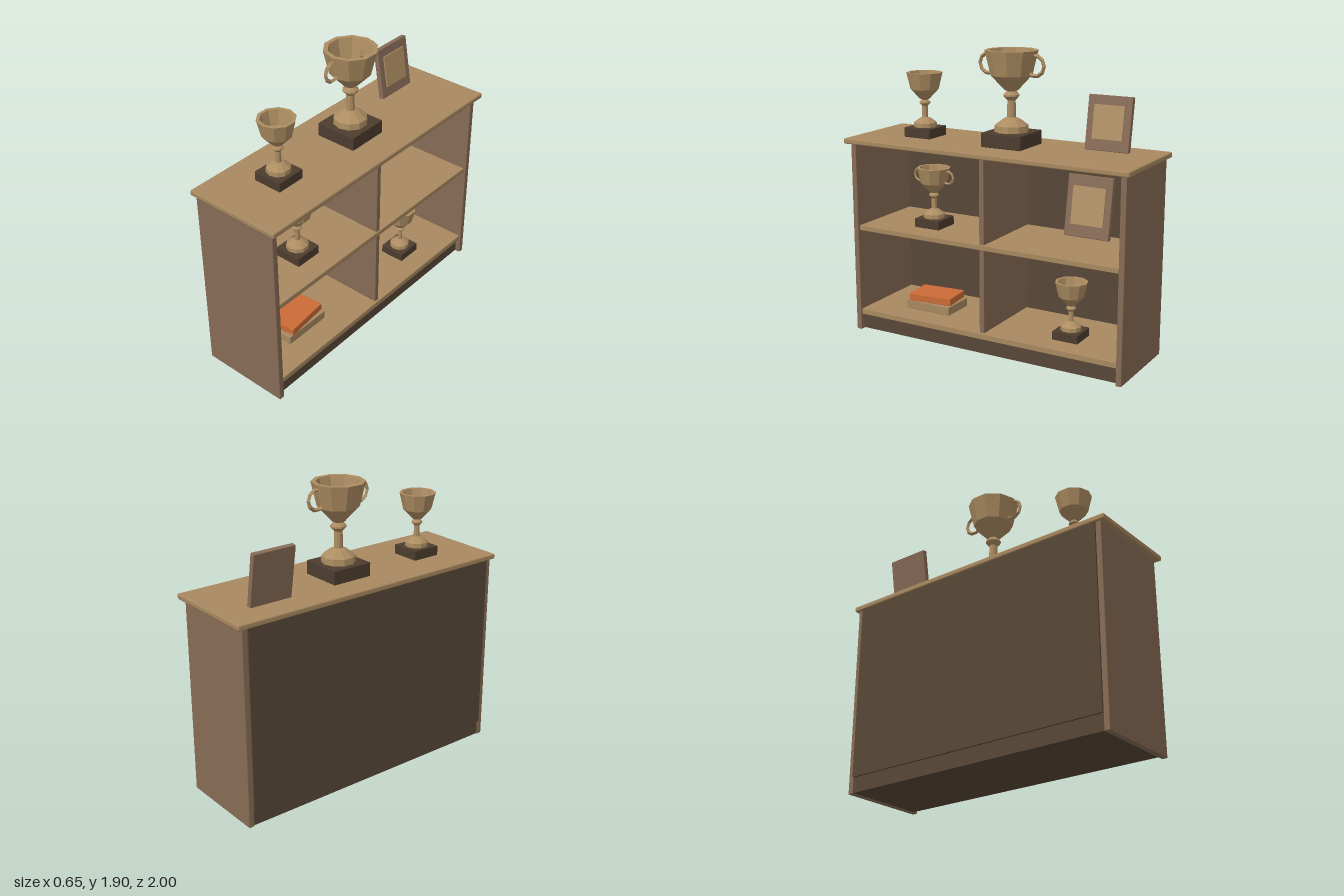
import * as THREE from 'three';
import { RoundedBoxGeometry } from 'three/addons/geometries/RoundedBoxGeometry.js';

const mat = (name, color) => {
  const m = new THREE.MeshStandardMaterial({ color });
  m.name = name;
  return m;
};

export function createModel() {
  const lightWood = mat('light wood', 0xa88860);
  const panelWood = mat('panel wood', 0x866b54);
  const darkWood = mat('dark wood', 0x574736);
  const plinthWood = mat('plinth wood', 0x4c3c2e);
  const brass = mat('brass', 0xad8d62);
  const frameWood = mat('frame wood', 0x896c58);
  const picture = mat('picture', 0xb29266);
  const orange = mat('orange cover', 0xcb6b36);

  const model = new THREE.Group();
  model.name = 'trophyBookcase';

  const add = (parent, name, geometry, material) => {
    const mesh = new THREE.Mesh(geometry, material);
    mesh.name = name;
    parent.add(mesh);
    return mesh;
  };
  // box given by its limits on each axis, with slightly softened edges
  const box = (parent, name, material, [x0, x1], [y0, y1], [z0, z1], bevel = 0.004) => {
    const size = [x1 - x0, y1 - y0, z1 - z0];
    const geometry = bevel ? new RoundedBoxGeometry(...size, 1, bevel) : new THREE.BoxGeometry(...size);
    const mesh = add(parent, name, geometry, material);
    mesh.position.set((x0 + x1) / 2, (y0 + y1) / 2, (z0 + z1) / 2);
    return mesh;
  };
  const faceted = (geometry) => {
    const g = geometry.index ? geometry.toNonIndexed() : geometry;
    g.computeVertexNormals();
    return g;
  };

  // Bookcase, open towards +x
  box(model, 'top', lightWood, [-0.33, 0.325], [1.275, 1.31], [-1, 1], 0.009);
  for (const s of [-1, 1]) {
    const side = box(model, 'sidePanel', panelWood, [-0.315, 0.285], [0, 1.275], [-0.0185, 0.0185]);
    side.position.z = s * 0.951;
  }
  box(model, 'backPanel', darkWood, [-0.323, -0.305], [0.105, 1.275], [-0.933, 0.933], 0);
  box(model, 'plinth', darkWood, [-0.31, 0.25], [0.004, 0.106], [-0.933, 0.933], 0);
  box(model, 'bottomShelf', lightWood, [-0.305, 0.275], [0.106, 0.145], [-0.933, 0.933]);
  box(model, 'middleShelf', lightWood, [-0.305, 0.27], [0.69, 0.725], [-0.933, 0.933]);
  box(model, 'divider', panelWood, [-0.305, 0.262], [0.145, 1.275], [-0.017, 0.017]);

  // Trophies: ten-sided turned cup on a square base
  const cupProfile = [
    [0, 0.09], [0.108, 0.09], [0.106, 0.13], [0.055, 0.168], [0.028, 0.18],
    [0.026, 0.285], [0.05, 0.31], [0.05, 0.32], [0.03, 0.342], [0.045, 0.35],
    [0.13, 0.44], [0.167, 0.595], [0.138, 0.595], [0.108, 0.46], [0, 0.385],
  ].map(([r, y]) => new THREE.Vector2(r, y));
  const cupGeometry = faceted(new THREE.LatheGeometry(cupProfile, 10));
  const handleGeometry = faceted(new THREE.TorusGeometry(0.063, 0.013, 4, 10).rotateY(Math.PI / 2));

  const trophy = (name, scale, x, y, z, handles) => {
    const group = new THREE.Group();
    group.name = name;
    box(group, 'base', plinthWood, [-0.14, 0.14], [0, 0.09], [-0.14, 0.14], 0.005);
    add(group, 'cup', cupGeometry, brass);
    if (handles) {
      for (const s of [-1, 1]) {
        add(group, 'handle', handleGeometry, brass).position.set(0, 0.505, s * 0.162);
      }
    }
    group.scale.setScalar(scale);
    group.position.set(x, y, z);
    model.add(group);
  };
  trophy('largeTrophy', 1, -0.015, 1.31, -0.055, true);
  trophy('smallTrophy', 0.7, -0.015, 1.31, 0.59, false);
  trophy('middleShelfTrophy', 0.66, 0.03, 0.725, 0.5, true);
  trophy('bottomShelfTrophy', 0.62, 0.05, 0.145, -0.52, false);

  // Picture frames leaning back
  const pictureFrame = (name, width, height, inner, x, y, z) => {
    const group = new THREE.Group();
    group.name = name;
    const [w, y0, y1] = inner;
    box(group, 'frame', frameWood, [-0.035, 0], [0, height], [-width / 2, width / 2]);
    box(group, 'picture', picture, [-0.001, 0.008], [y0, y1], [-w / 2, w / 2], 0);
    group.rotation.z = 0.16;
    group.position.set(x, y, z);
    model.add(group);
  };
  pictureFrame('topFrame', 0.29, 0.338, [0.2, 0.07, 0.28], -0.115, 1.315, -0.655);
  pictureFrame('shelfFrame', 0.31, 0.395, [0.225, 0.08, 0.325], -0.18, 0.73, -0.5);

  // Stacked books
  box(model, 'lowerBook', lightWood, [-0.12, 0.11], [0.145, 0.203], [0.347, 0.68]);
  const upperBook = box(model, 'upperBook', orange, [-0.11, 0.1], [0.204, 0.253], [0.36, 0.665]);
  upperBook.rotation.y = 0.1;

  return model;
}
